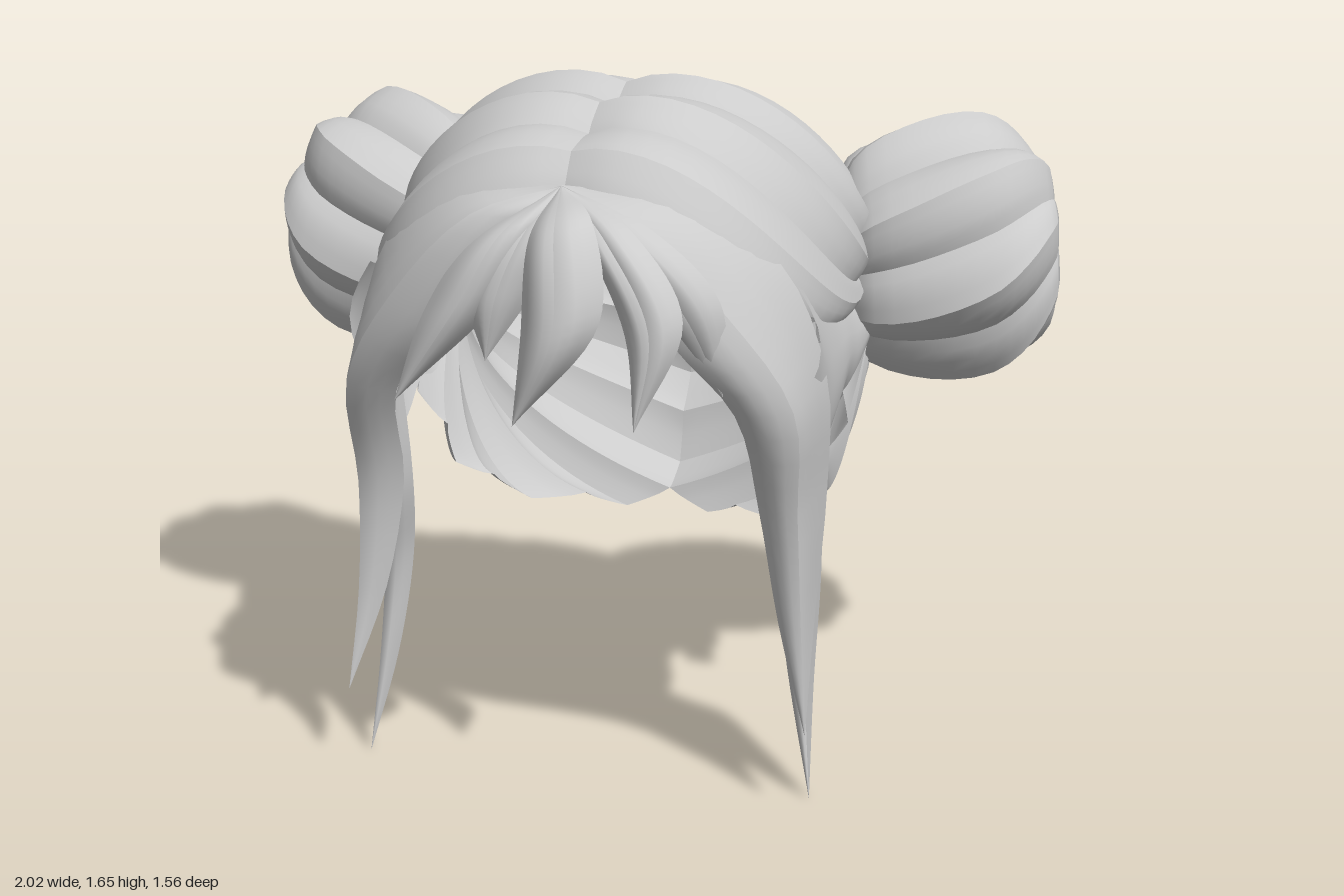
import * as THREE from 'three';

const V = (x, y, z) => new THREE.Vector3(x, y, z);
const mat = new THREE.MeshStandardMaterial({ color: 0xcccccc, side: THREE.DoubleSide });
const { lerp, smoothstep } = THREE.MathUtils;

// Smooth sheet from a function of (u, v); separate sheets meet in sharp creases
function sheet(name, fn, nu, nv, side = 1) {
  const pos = [], idx = [];
  for (let i = 0; i <= nu; i++) {
    for (let j = 0; j <= nv; j++) {
      const p = fn(i / nu, j / nv);
      pos.push(p.x * side, p.y, p.z);
      if (i < nu && j < nv) {
        const a = i * (nv + 1) + j, b = a + nv + 1;
        idx.push(a, b, a + 1, b, b + 1, a + 1);
      }
    }
  }
  const g = new THREE.BufferGeometry();
  g.setAttribute('position', new THREE.Float32BufferAttribute(pos, 3));
  g.setIndex(idx);
  g.computeVertexNormals();
  const m = new THREE.Mesh(g, mat);
  m.name = name;
  return m;
}

// Strand of two faces, a riser and a tread, creased along its peak at u = PEAK
const PEAK = 0.5;
const ridge = u => Math.pow(u < PEAK ? u / PEAK : (1 - u) / (1 - PEAK), 0.8);
function strand(name, fn, nv, side) {
  const group = new THREE.Group();
  group.name = name;
  group.add(sheet(name + 'Riser', (u, v) => fn(u * PEAK, v), 4, nv, side),
    sheet(name + 'Tread', (u, v) => fn(PEAK + u * (1 - PEAK), v), 5, nv, side));
  return group;
}

// Start line of the cap strands: centre parting front to nape, then round the lower rim
const START = [
  [0, 1.46, 0.5], [0, 1.57, 0.3], [0, 1.6, 0.06], [0, 1.59, -0.14], [0, 1.5, -0.42],
  [0, 1.32, -0.58], [0, 1.1, -0.68], [0, 0.88, -0.68], [0, 0.66, -0.6], [0, 0.49, -0.46],
  [0.2, 0.49, -0.36], [0.4, 0.57, -0.2], [0.48, 0.73, -0.08], [0.52, 0.95, -0.04],
].map(p => V(...p));

// One path from the start line, round the head, to the bun
function capPath(s) {
  const back = smoothstep(-s.z, 0.1, 0.55);
  const front = smoothstep(s.z, 0, 0.5);
  const low = smoothstep(1.1 - s.y, 0, 0.4);
  const spread = Math.max(0, 1 - 2 * s.x);
  const a = V(0.53, 1.08 + 0.2 * (s.y - 1.08) - 0.05 * front, -0.3 + 0.15 * s.z);
  const p1 = V(s.x + lerp(0.38, 0.29, back) * spread,
    s.y + 0.08 * smoothstep(s.y, 1.45, 1.55) + 0.1 * low * spread, s.z + 0.05 * front);
  const p2 = V(lerp(0.63, 0.52, Math.max(back, low)),
    lerp(a.y, s.y, 0.2 + 0.2 * low) - 0.17 * front,
    lerp(a.z, s.z, 0.7 - 0.15 * back * spread) + 0.17 * front);
  return new THREE.CubicBezierCurve3(s, p1, p2, a);
}

function capStrand(i, side) {
  const centre = V(0, 1.05, -0.15);
  return strand('capStrand', (u, v) => {
    const s = START[i].clone().lerp(START[i + 1], u);
    const p = capPath(s).getPoint(v);
    const out = p.clone().sub(centre).normalize();
    const parting = 0.025 * Math.exp(-14 * v) * smoothstep(s.y, 0.55, 0.95) * (s.x > 0 ? 0 : 1);
    return p.addScaledVector(out, 0.055 * ridge(u) * (1 - 0.7 * v) - parting);
  }, 20, side);
}

// Bun: swirled lobes round a tilted axis, sunk at the outer end
function bun(side) {
  const group = new THREE.Group();
  group.name = side > 0 ? 'leftBun' : 'rightBun';
  const profile = new THREE.CatmullRomCurve3([
    V(-0.3, 0.13, 0), V(-0.24, 0.23, 0), V(-0.08, 0.285, 0), V(0.09, 0.285, 0),
    V(0.19, 0.23, 0), V(0.24, 0.15, 0), V(0.18, 0.08, 0), V(0.08, 0.01, 0)]);
  const axis = V(0.95, 0.04, -0.26).normalize();
  const e1 = V(0, 1, 0).addScaledVector(axis, -axis.y).normalize();
  const e2 = axis.clone().cross(e1);
  const lobes = 7;
  for (let k = 0; k < lobes; k++) {
    group.add(strand('bunLobe', (u, v) => {
      const q = profile.getPoint(v);
      const phi = ((k + u) / lobes) * Math.PI * 2 - 1.1 * v - 1.3 * v ** 3;
      const r = q.y * (0.95 + 0.2 * ridge(u));
      return V(0.73, 1.18, -0.455).addScaledVector(axis, q.x)
        .addScaledVector(e1, r * Math.cos(phi)).addScaledVector(e2, r * Math.sin(phi));
    }, 24, side));
  }
  return group;
}

// Lock from rows of [outer edge, ridge, inner edge], two creased faces
function lock(name, rows, side) {
  const group = new THREE.Group();
  group.name = name;
  const cols = [0, 1, 2].map(c => new THREE.CatmullRomCurve3(rows.map(r => V(...r[c % r.length]))));
  for (const c of [0, 1]) {
    group.add(sheet(name + 'Face', (u, v) => {
      const p = cols[c].getPoint(v).lerp(cols[c + 1].getPoint(v), u);
      p.z += 0.025 * Math.sin(u * Math.PI) * Math.sin(v * Math.PI);
      return p;
    }, 4, 24, side));
  }
  return group;
}

// Fringe tuft from a spine and a half width
function tuft(spine, w) {
  const widths = [0, 0.8, 1, 0];
  return lock('fringeTuft', spine.map(([x, y, z], i) => {
    const d = w * widths[i];
    return [[x + d, y + d * 0.3, z - d * 0.7], [x, y, z], [x - d, y - d * 0.3, z - d * 0.7]];
  }), 1);
}

const SIDE_LOCK = [
  [[0, 1.47, 0.49], [0, 1.47, 0.5], [0, 1.46, 0.5]],
  [[0.26, 1.44, 0.45], [0.19, 1.41, 0.57], [0.09, 1.41, 0.58]],
  [[0.47, 1.29, 0.36], [0.39, 1.21, 0.55], [0.27, 1.15, 0.58]],
  [[0.565, 1.02, 0.29], [0.53, 0.98, 0.48], [0.4, 0.97, 0.5]],
  [[0.565, 0.75, 0.26], [0.53, 0.72, 0.42], [0.43, 0.72, 0.38]],
  [[0.55, 0.45, 0.3], [0.54, 0.45, 0.41], [0.48, 0.45, 0.38]],
  [[0.56, 0.2, 0.44]],
];
const REAR_LOCK = [
  [[0.53, 1.14, 0.26], [0.5, 1.14, 0.35], [0.46, 1.14, 0.36]],
  [[0.54, 0.75, 0.2], [0.5, 0.72, 0.34], [0.43, 0.72, 0.32]],
  [[0.53, 0.48, 0.14], [0.52, 0.48, 0.28], [0.45, 0.5, 0.27]],
  [[0.53, 0.25, 0.2], [0.53, 0.25, 0.3], [0.49, 0.25, 0.28]],
  [[0.55, 0.0, 0.33]],
];
// Sideburn outline: z, top y, bottom y
const SIDEBURN = [[0.36, 1.24, 0.97], [0.3, 1.22, 0.87], [0.21, 1.2, 0.77], [0.1, 1.17, 0.8],
  [0, 1.14, 0.87], [-0.1, 1.12, 0.86], [-0.25, 1.08, 0.93]];

export function createModel() {
  const model = new THREE.Group();
  model.name = 'hair';

  for (const side of [1, -1]) {
    // Cap
    const cap = new THREE.Group();
    cap.name = side > 0 ? 'leftCap' : 'rightCap';
    for (let i = 0; i < START.length - 1; i++) cap.add(capStrand(i, side));
    model.add(cap, bun(side));

    // Locks framing the face
    model.add(lock('sideLock', SIDE_LOCK, side), lock('rearSideLock', REAR_LOCK, side));

    // Sideburn above the ear
    const edge = new THREE.CatmullRomCurve3(SIDEBURN.map(([z, t, b]) => V(z, t, b)));
    model.add(sheet('sideburn', (u, v) => {
      const q = edge.getPoint(u);
      return V(0.51 + 0.05 * Math.sin(v * Math.PI) + 0.01 * v, lerp(q.y, q.z, v), q.x);
    }, 20, 6, side));
  }

  // Fringe
  const root = [0, 1.47, 0.5];
  model.add(
    tuft([root, [0.04, 1.4, 0.69], [0.06, 1.19, 0.78], [-0.04, 0.98, 0.75]], 0.09),
    tuft([root, [0.15, 1.38, 0.66], [0.26, 1.2, 0.72], [0.23, 0.98, 0.73]], 0.065),
    tuft([root, [0.17, 1.38, 0.61], [0.31, 1.22, 0.61], [0.38, 1.02, 0.53]], 0.07),
    tuft([root, [-0.1, 1.38, 0.64], [-0.19, 1.22, 0.68], [-0.35, 0.99, 0.65]], 0.1),
    tuft([root, [-0.05, 1.38, 0.63], [-0.1, 1.25, 0.67], [-0.13, 1.1, 0.66]], 0.08),
  );
  return model;
}
